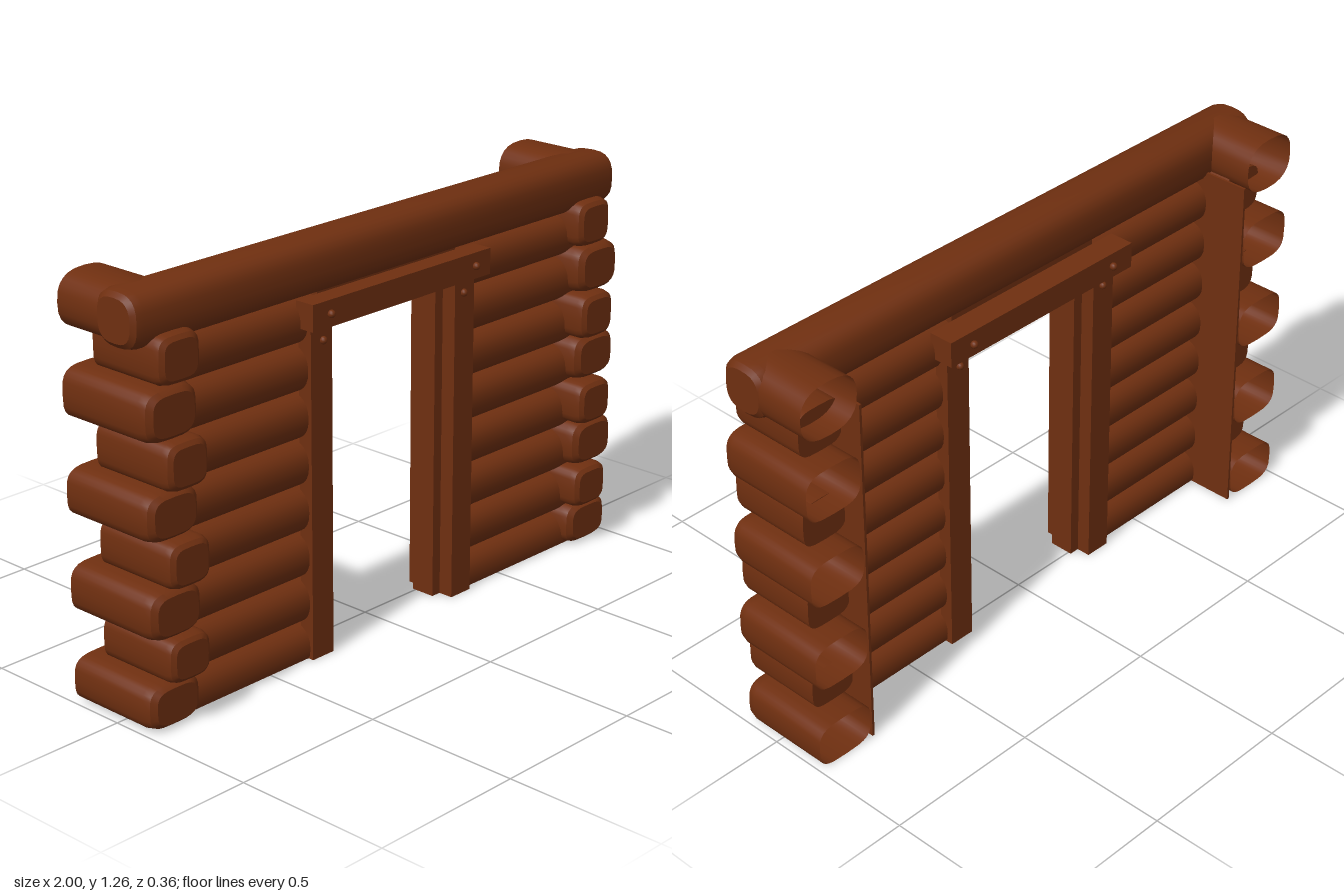
import * as THREE from 'three';
import { toCreasedNormals } from 'three/addons/utils/BufferGeometryUtils.js';

const brown = new THREE.MeshStandardMaterial({ color: 0x6f2f10, side: THREE.DoubleSide });
brown.name = 'brown wood';

// Log along z: rounded section (rx, ry, squareness n) swept through [z, scale] stations, open unless scaled to 0
function logGeometry(rx, ry, n, stations, floor = -Infinity, sides = 24) {
  const pos = [], index = [];
  const bend = v => Math.sign(v) * Math.abs(v) ** (2 / n);
  for (const [z, s] of stations) {
    for (let i = 0; i < sides; i++) {
      const a = (i / sides) * Math.PI * 2;
      pos.push(rx * s * bend(Math.cos(a)), Math.max(floor, ry * s * bend(Math.sin(a))), z);
    }
  }
  for (let r = 0; r < stations.length - 1; r++) {
    for (let i = 0; i < sides; i++) {
      const a = r * sides + i, b = r * sides + (i + 1) % sides;
      index.push(a, b, b + sides, a, b + sides, a + sides);
    }
  }
  const g = new THREE.BufferGeometry();
  g.setAttribute('position', new THREE.Float32BufferAttribute(pos, 3));
  g.setIndex(index);
  return toCreasedNormals(g, 0.55);
}

// Stations of a bevelled end at z, going outward in direction d
const bevel = (z, d, b = 0.035) => [[z - d * b, 1], [z - d * b * 0.35, 0.93], [z, 0.76], [z, 0]];

export function createModel() {
  const model = new THREE.Group();
  const add = (name, geometry, x, y, z) => {
    const m = new THREE.Mesh(geometry, brown);
    m.name = name;
    m.position.set(x, y, z);
    model.add(m);
    return m;
  };
  // Box given by its limits
  const box = (name, x0, x1, y0, y1, z0, z1) =>
    add(name, new THREE.BoxGeometry(x1 - x0, y1 - y0, z1 - z0), (x0 + x1) / 2, (y0 + y1) / 2, (z0 + z1) / 2);

  // Top log across the whole wall
  add('topLog', logGeometry(0.083, 0.083, 2.8, [...bevel(-1, -1).reverse(), ...bevel(1, 1)]), 0, 1.182, 0.043)
    .rotation.y = Math.PI / 2;

  for (const s of [-1, 1]) {
    // Stacked wall logs, the lowest cut flat on the ground
    for (let i = 0; i < 8; i++) {
      const y = 0.032 + i * 0.1425;
      const g = logGeometry(0.072, 0.07, 2.3, [[-0.29, 0], [-0.29, 1], [0.29, 1], [0.29, 0]], -y);
      add('wallLog', g, s * 0.57, y, 0.035).rotation.y = Math.PI / 2;
    }

    // Long corner logs, hollow and cut off at the back
    const rows = [[0, 0.137, 0.138], [0.272, 0.42, 0.152], [0.56, 0.705, 0.15], [0.845, 0.998, 0.155]];
    for (const [y0, y1, front] of rows) {
      const g = logGeometry(0.098, (y1 - y0) / 2, 3.6, [[-0.18, 1], ...bevel(front, 1, 0.04)]);
      add('longCornerLog', g, s * 0.897, (y0 + y1) / 2, 0);
    }
    add('topCornerLog', logGeometry(0.1, 0.083, 2.6, [[-0.18, 1], [0.03, 1]]), s * 0.9, 1.182, 0);

    // Short corner logs between them
    const shortRows = [[0.14, 0.273, 0.172], [0.422, 0.56, 0.18], [0.705, 0.848, 0.18], [0.998, 1.142, 0.157]];
    for (const [y0, y1, front] of shortRows) {
      const g = logGeometry(0.078, (y1 - y0) / 2, 4, [[-0.105, 0], [-0.105, 1], ...bevel(front, 1, 0.03)]);
      add('shortCornerLog', g, s * 0.868, (y0 + y1) / 2, 0);
    }

    // Flat strip closing the corner on the inside
    box('cornerStrip', s * 0.79 - 0.004, s * 0.79 + 0.004, 0, 1.14, -0.18, 0.04);

    // Door post: front and back planks around a jamb
    const post = (name, a, b, y1, z0, z1) =>
      box(name, Math.min(s * a, s * b), Math.max(s * a, s * b), 0, y1, z0, z1);
    post('frontDoorPlank', 0.26, 0.345, 1.02, 0.07, 0.118);
    post('backDoorPlank', 0.26, 0.345, 1.02, -0.055, -0.01);
    post('doorJamb', 0.227, 0.32, 1.0, -0.01, 0.07);

    // Bolts on the planks and lintels, both faces
    const bolts = [[0.305, 1.06, 0.16], [0.297, 0.972, 0.12], [0.288, 1.06, -0.106], [0.297, 0.972, -0.058]];
    for (const [x, y, z] of bolts) add('bolt', new THREE.SphereGeometry(0.012, 10, 8), s * x, y, z);
  }

  // Lintels over the doorway with the header between them
  box('frontLintel', -0.373, 0.373, 1.02, 1.1, 0.09, 0.155);
  box('backLintel', -0.373, 0.373, 1.02, 1.1, -0.1, -0.02);
  box('doorHeader', -0.29, 0.29, 0.995, 1.12, -0.02, 0.09);

  return model;
}
